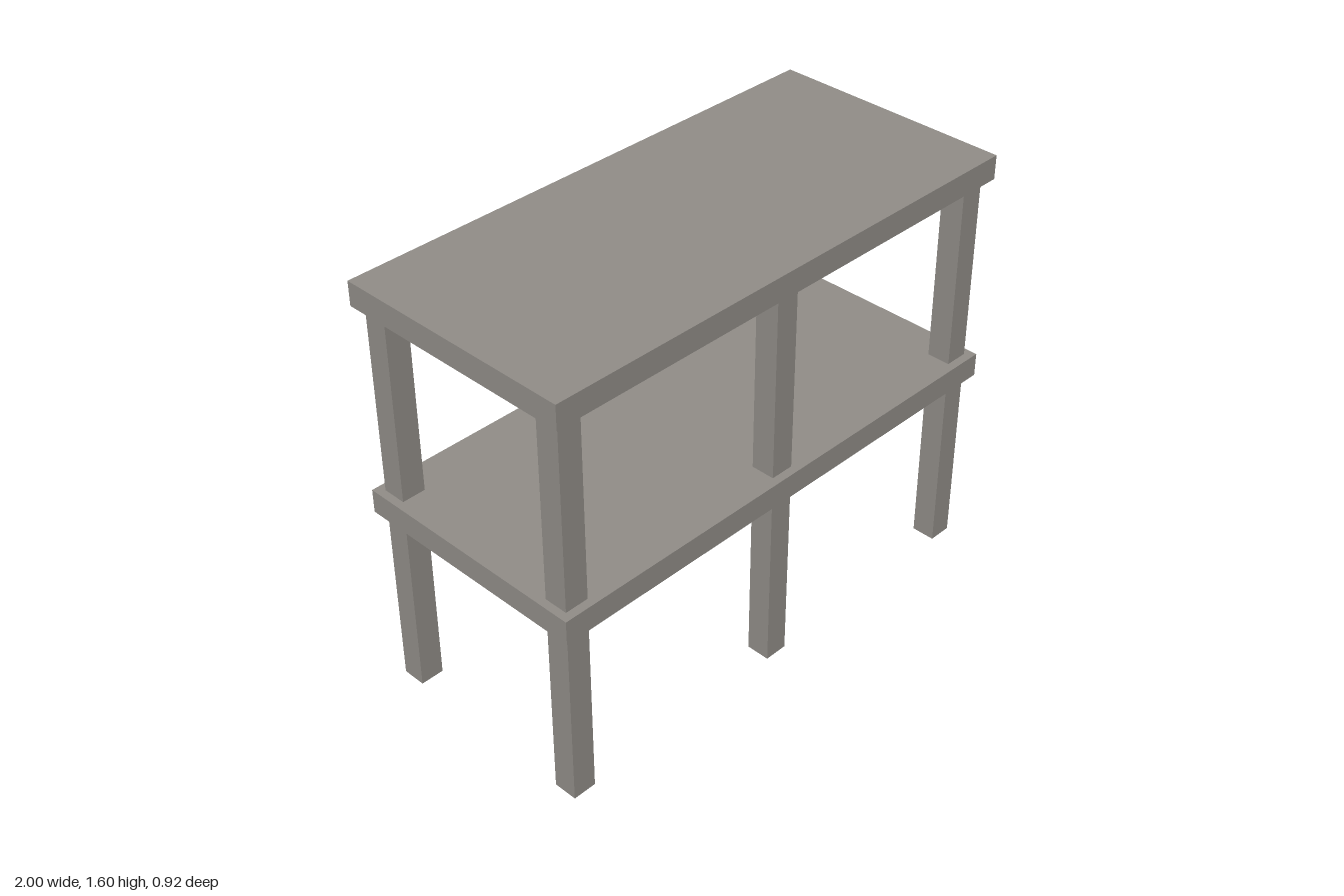
import * as THREE from 'three';

const STOREY = 0.8;      // floor-to-floor height
const SLAB = 0.09;       // slab thickness
const COLUMN = 0.09;     // column side
const COLUMN_X = [-0.925, 0, 0.925];
const COLUMN_Z = [-0.385, 0.385];

export function createModel() {
  const group = new THREE.Group();
  group.name = 'concreteFrame';
  const concrete = new THREE.MeshStandardMaterial({ color: 0x928e89 });
  concrete.name = 'concrete';

  const addBox = (name, width, height, depth, x, bottom, z) => {
    const mesh = new THREE.Mesh(new THREE.BoxGeometry(width, height, depth), concrete);
    mesh.name = name;
    mesh.position.set(x, bottom + height / 2, z);
    group.add(mesh);
  };

  // Two identical storeys: six columns carrying a slab
  ['lower', 'upper'].forEach((level, i) => {
    const base = i * STOREY;
    const columnHeight = STOREY - SLAB;
    for (const x of COLUMN_X) {
      for (const z of COLUMN_Z) {
        addBox(`${level}Column`, COLUMN, columnHeight, COLUMN, x, base, z);
      }
    }
    addBox(`${level}Slab`, 2, SLAB, 0.924, 0, base + columnHeight, 0);
  });

  return group;
}
